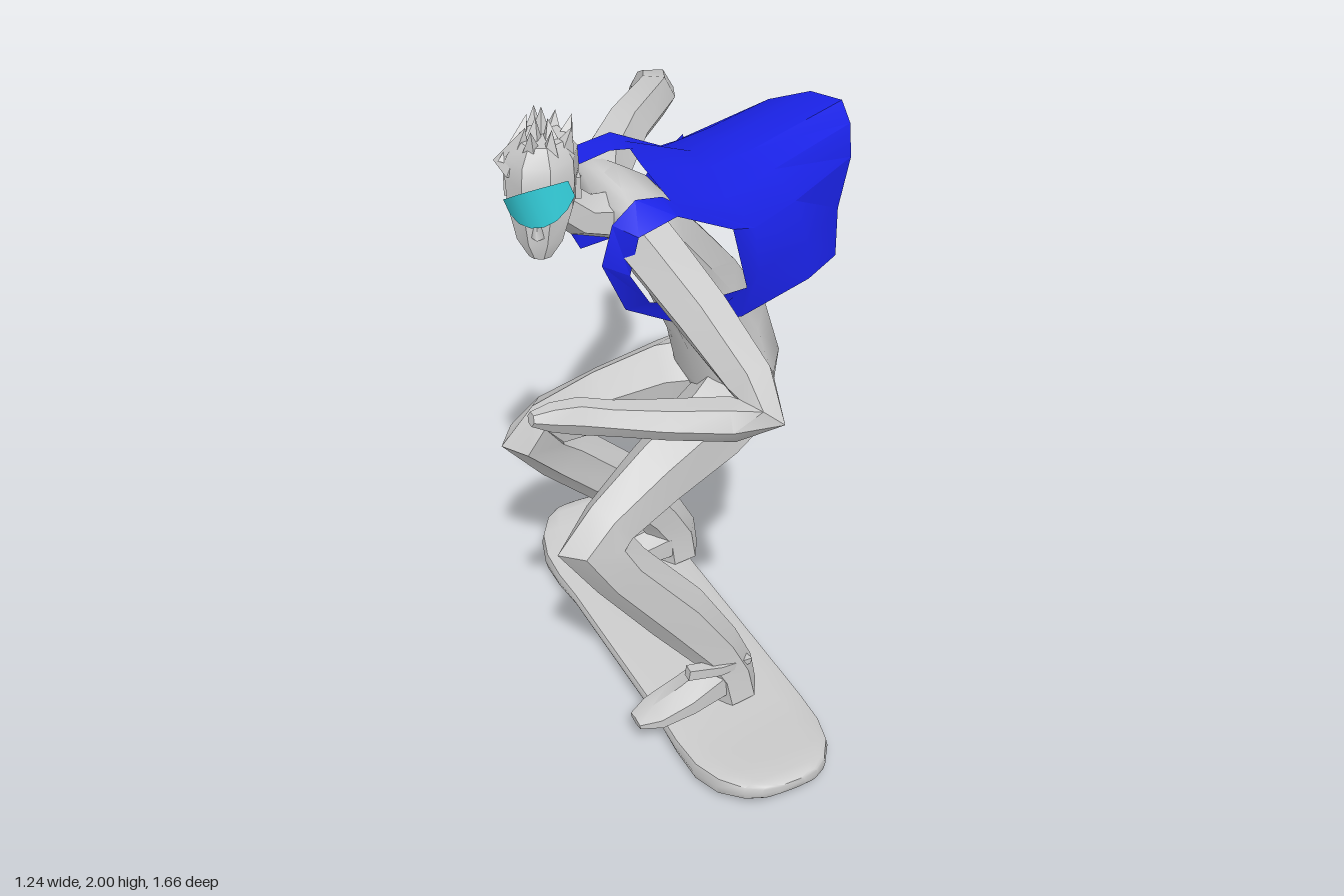
import * as THREE from 'three';
import { toCreasedNormals } from 'three/addons/utils/BufferGeometryUtils.js';

const grey = new THREE.MeshStandardMaterial({ color: 0xcccccc });
const blue = new THREE.MeshStandardMaterial({ color: 0x1a22e6, side: THREE.DoubleSide });
const cyan = new THREE.MeshStandardMaterial({ color: 0x33ccd8, side: THREE.DoubleSide });
const V = (x, y, z) => new THREE.Vector3(x, y, z);

function named(name, geometry, material = grey) {
  const mesh = new THREE.Mesh(geometry, material);
  mesh.name = name;
  return mesh;
}

function build(points, index) {
  const g = new THREE.BufferGeometry();
  g.setAttribute('position', new THREE.Float32BufferAttribute(points.flatMap(p => [p.x, p.y, p.z]), 3));
  g.setIndex(index);
  return g;
}

// Closed skin over a row of rings; the winding is turned outward by signed volume.
function skin(rings, crease = 0.6) {
  const n = rings[0].length, last = (rings.length - 1) * n;
  const pts = rings.flat(), tri = [];
  for (let r = 0; r < rings.length - 1; r++)
    for (let i = 0; i < n; i++) {
      const a = r * n + i, b = r * n + (i + 1) % n;
      tri.push([a, b, a + n], [b, b + n, a + n]);
    }
  for (let i = 1; i < n - 1; i++) tri.push([0, i + 1, i], [last, last + i, last + i + 1]);
  let volume = 0;
  for (const [a, b, c] of tri) volume += pts[a].dot(pts[b].clone().cross(pts[c]));
  if (volume < 0) tri.forEach(t => t.reverse());
  return toCreasedNormals(build(pts, tri.flat()), crease);
}

// Tube through stations [x, y, z, depth, width]; width lies along the ref axis.
function limb(stations, sides = 6, ref = V(0, 0, 1), crease = 0.6) {
  const c = stations.map(s => V(s[0], s[1], s[2]));
  const rings = stations.map(([, , , depth, width = depth], i) => {
    const t = V(0, 0, 0);
    if (i > 0) t.add(c[i].clone().sub(c[i - 1]).normalize());
    if (i < c.length - 1) t.add(c[i + 1].clone().sub(c[i]).normalize());
    t.normalize();
    const side = ref.clone().addScaledVector(t, -t.dot(ref)).normalize();
    const up = t.clone().cross(side);
    return Array.from({ length: sides }, (_, k) => {
      const a = (k + 0.5) / sides * Math.PI * 2;
      return c[i].clone().addScaledVector(side, Math.cos(a) * width).addScaledVector(up, Math.sin(a) * depth);
    });
  });
  return skin(rings, crease);
}

// Open cloth over rows of [x, y, z] points.
function sheet(rows) {
  const n = rows[0].length, index = [];
  for (let r = 0; r < rows.length - 1; r++)
    for (let i = 0; i < n - 1; i++) {
      const a = r * n + i;
      index.push(a, a + n, a + 1, a + 1, a + n, a + n + 1);
    }
  return toCreasedNormals(build(rows.flat().map(p => V(...p)), index), 0.7);
}

function makeBoard() {
  // distance from the middle, half width, top, bottom
  const half = [[.3, .215, .085, .03], [.42, .218, .082, .012], [.53, .212, .087, 0],
    [.62, .185, .096, .012], [.69, .135, .1, .035], [.72, .09, .098, .05], [.73, .045, .092, .06]];
  const ends = [...half.map(([d, ...r]) => [-d, ...r]).reverse(), ...half];
  const rings = ends.map(([d, w, top, bottom]) => Array.from({ length: 16 }, (_, k) => {
    const a = k / 16 * Math.PI * 2, cs = Math.cos(a), sn = Math.sin(a);
    const bend = v => Math.sign(v) * Math.pow(Math.abs(v), 0.45);
    return V(.03 + w * bend(cs), (top + bottom) / 2 + (top - bottom) / 2 * bend(sn), .06 + d);
  }));
  return named('skateboard', skin(rings, 0.8));
}

// Head is built facing +z, then turned.
function makeHead() {
  const head = new THREE.Group();
  head.name = 'head';
  const levels = [[-.155, .075, .03, .025], [-.11, .058, .062, .055], [-.03, .02, .088, .088],
    [.04, 0, .094, .112], [.09, -.01, .09, .108], [.13, -.015, .06, .075]];
  const rings = levels.map(([y, z, rx, rz]) => Array.from({ length: 8 }, (_, k) => {
    const a = (k + 0.5) / 8 * Math.PI * 2;
    return V(Math.cos(a) * rx, y, z + Math.sin(a) * rz);
  }));
  head.add(named('skull', skin(rings, 0.5)));

  const nose = named('nose', new THREE.ConeGeometry(.018, .06, 4));
  nose.position.set(0, -.06, .105);
  head.add(nose);
  for (const s of [-1, 1]) {
    const ear = named('ear', new THREE.BoxGeometry(.015, .06, .035));
    ear.position.set(s * .085, 0, -.01);
    ear.rotation.y = s * .3;
    head.add(ear);
  }

  // Goggles: a curved band, deep in the middle and narrow at the temples
  const band = Array.from({ length: 7 }, (_, i) => {
    const a = (i / 3 - 1) * 1.05, h = .015 + .038 * Math.cos(a * 1.3);
    return [1, -1].map(s => [Math.sin(a) * .1, s * h, Math.cos(a) * (.123 + s * .003)]);
  });
  const goggles = named('goggles', sheet(band), cyan);
  goggles.position.set(0, 0, .003);
  goggles.rotation.z = .35;
  head.add(goggles);

  // Spiky hair: broad tufts around the crown and three in the middle
  for (let i = 0; i < 11; i++) {
    const outer = i < 8, a = (outer ? i / 8 : i / 3) * Math.PI * 2 + .3, r = outer ? .06 : .025;
    const tuft = named('hairTuft', new THREE.ConeGeometry(.052, .12 + .012 * (i % 3), 4).toNonIndexed());
    tuft.geometry.computeVertexNormals();
    tuft.position.set(Math.cos(a) * r, outer ? .108 : .118, Math.sin(a) * r - .015);
    tuft.rotation.set(Math.sin(a) * r * 6 - .15, i, -Math.cos(a) * r * 6);
    head.add(tuft);
  }
  head.position.set(-.405, 1.81, .165);
  head.rotation.y = -.55;
  return head;
}

function makeLeg(name, stations, heelX, z, out) {
  const leg = new THREE.Group();
  leg.name = name;
  leg.add(named('legLimb', limb(stations)));
  leg.add(named('foot', limb([[heelX - .06, .15, z, .05, .055], [heelX - .13, .155, z, .068, .065],
    [heelX - .24, .135, z + out * .015, .045, .07], [heelX - .34, .117, z + out * .02, .03, .064],
    [heelX - .4, .11, z + out * .02, .014, .035]])));
  leg.add(named('shoeFlap', limb([[heelX - .24, .25, z + out * .04, .024, .022],
    [heelX - .14, .235, z + out * .048, .022, .026], [heelX - .03, .215, z + out * .03, .014, .02]], 4)));
  return leg;
}

export function createModel() {
  const model = new THREE.Group();
  model.name = 'caped skateboarder';
  model.add(makeBoard(), makeHead());

  // Body, leaning toward -x
  model.add(named('torso', limb([[.19, .905, .06, .075, .1], [.2, .96, .06, .118, .17], [.19, 1.07, .06, .144, .185],
    [.15, 1.22, .06, .14, .17], [.07, 1.37, .06, .125, .18], [-.03, 1.51, .09, .11, .19],
    [-.13, 1.64, .13, .1, .2], [-.195, 1.72, .14, .065, .2], [-.225, 1.75, .15, .03, .1]], 8, undefined, 1)));
  model.add(named('neck', limb([[-.19, 1.67, .15, .07], [-.3, 1.7, .16, .058], [-.38, 1.77, .16, .055]])));

  // Legs
  model.add(makeLeg('frontLeg', [[.22, 1.05, .12, .06, .06], [.165, .985, .15, .132, .12], [.05, .95, .2, .128, .112],
    [-.15, .89, .27, .108, .09], [-.31, .82, .32, .09, .075], [-.36, .765, .335, .115, .075],
    [-.29, .66, .345, .09, .07], [-.12, .45, .36, .095, .068], [0, .28, .37, .08, .06],
    [.05, .18, .375, .075, .062], [.065, .09, .378, .075, .072]], .13, .37, 1));
  model.add(makeLeg('backLeg', [[.22, 1.05, 0, .06, .06], [.165, .985, -.03, .132, .12], [.07, .95, -.075, .128, .112],
    [-.1, .89, -.14, .108, .09], [-.25, .81, -.21, .09, .075], [-.29, .755, -.23, .115, .075],
    [-.2, .65, -.25, .095, .07], [0, .46, -.265, .095, .068], [.14, .28, -.275, .08, .06],
    [.2, .18, -.28, .075, .062], [.21, .09, -.28, .075, .07]], .28, -.28, -1));

  // Arms: one bent toward -x, one stretched out behind
  const up = V(0, 1, 0);
  model.add(named('bentArm', limb([[-.18, 1.66, .24, .085], [-.17, 1.63, .36, .082], [-.135, 1.55, .52, .077],
    [-.095, 1.45, .69, .067], [-.1, 1.395, .755, .078, .062], [-.16, 1.375, .725, .063, .054],
    [-.3, 1.368, .645, .055, .05], [-.42, 1.372, .585, .043, .046], [-.5, 1.385, .555, .043, .048],
    [-.57, 1.4, .55, .036, .036], [-.62, 1.41, .55, .02, .018]], 6, up)));
  model.add(named('stretchedArm', limb([[-.2, 1.69, .06, .08], [-.15, 1.705, -.03, .078], [-.02, 1.73, -.17, .068],
    [.16, 1.718, -.35, .063], [.215, 1.685, -.46, .058], [.265, 1.62, -.61, .046], [.29, 1.585, -.68, .038],
    [.325, 1.55, -.74, .046, .03], [.335, 1.52, -.79, .04, .022], [.33, 1.5, -.82, .025, .014]], 6, up)));

  // Cape: rows run from the collar to the hem, each from the low +z edge over the back to the -z edge
  const cape = new THREE.Group();
  cape.name = 'cape';
  cape.add(named('capeCloth', sheet([
    [[-.05, 1.39, .32], [.1, 1.46, .32], [.06, 1.64, .31], [-.1, 1.74, .28], [-.12, 1.79, .14], [-.1, 1.79, 0], [.04, 1.72, -.05], [.07, 1.66, -.16]],
    [[.1, 1.36, .3], [.16, 1.47, .28], [.16, 1.59, .25], [.1, 1.67, .2], [.08, 1.71, .1], [.1, 1.715, 0], [.13, 1.69, -.12], [.13, 1.6, -.26]],
    [[.34, 1.38, .24], [.35, 1.48, .21], [.33, 1.59, .17], [.3, 1.66, .1], [.28, 1.69, .02], [.27, 1.69, -.08], [.26, 1.66, -.2], [.24, 1.56, -.35]],
    [[.5, 1.35, .12], [.57, 1.43, .01], [.61, 1.58, 0], [.62, 1.67, -.03], [.62, 1.72, -.08], [.57, 1.72, -.17], [.48, 1.68, -.25], [.36, 1.59, -.29]],
  ]), blue));
  // Straps over each shoulder and back under the arm, as pairs of edge points
  cape.add(named('frontStrap', sheet([
    [[.06, 1.64, .31], [-.12, 1.755, .26]], [[-.12, 1.74, .345], [-.2, 1.77, .27]], [[-.23, 1.71, .35], [-.27, 1.72, .28]],
    [[-.25, 1.6, .34], [-.3, 1.61, .28]], [[-.19, 1.5, .33], [-.24, 1.47, .29]],
    [[-.05, 1.46, .33], [-.08, 1.39, .31]], [[.1, 1.46, .32], [.1, 1.36, .3]],
  ]), blue));
  cape.add(named('backStrap', sheet([
    [[.04, 1.72, -.05], [-.1, 1.79, .05]], [[-.12, 1.8, -.045], [-.17, 1.805, .06]], [[-.26, 1.78, -.04], [-.27, 1.78, .055]],
    [[-.3, 1.65, -.04], [-.31, 1.64, .045]], [[-.2, 1.53, -.08], [-.22, 1.48, -.03]],
    [[-.05, 1.5, -.14], [-.05, 1.43, -.13]], [[.11, 1.59, -.22], [.1, 1.45, -.21]], [[.25, 1.58, -.34], [.25, 1.52, -.3]],
  ]), blue));
  model.add(cape);
  return model;
}
